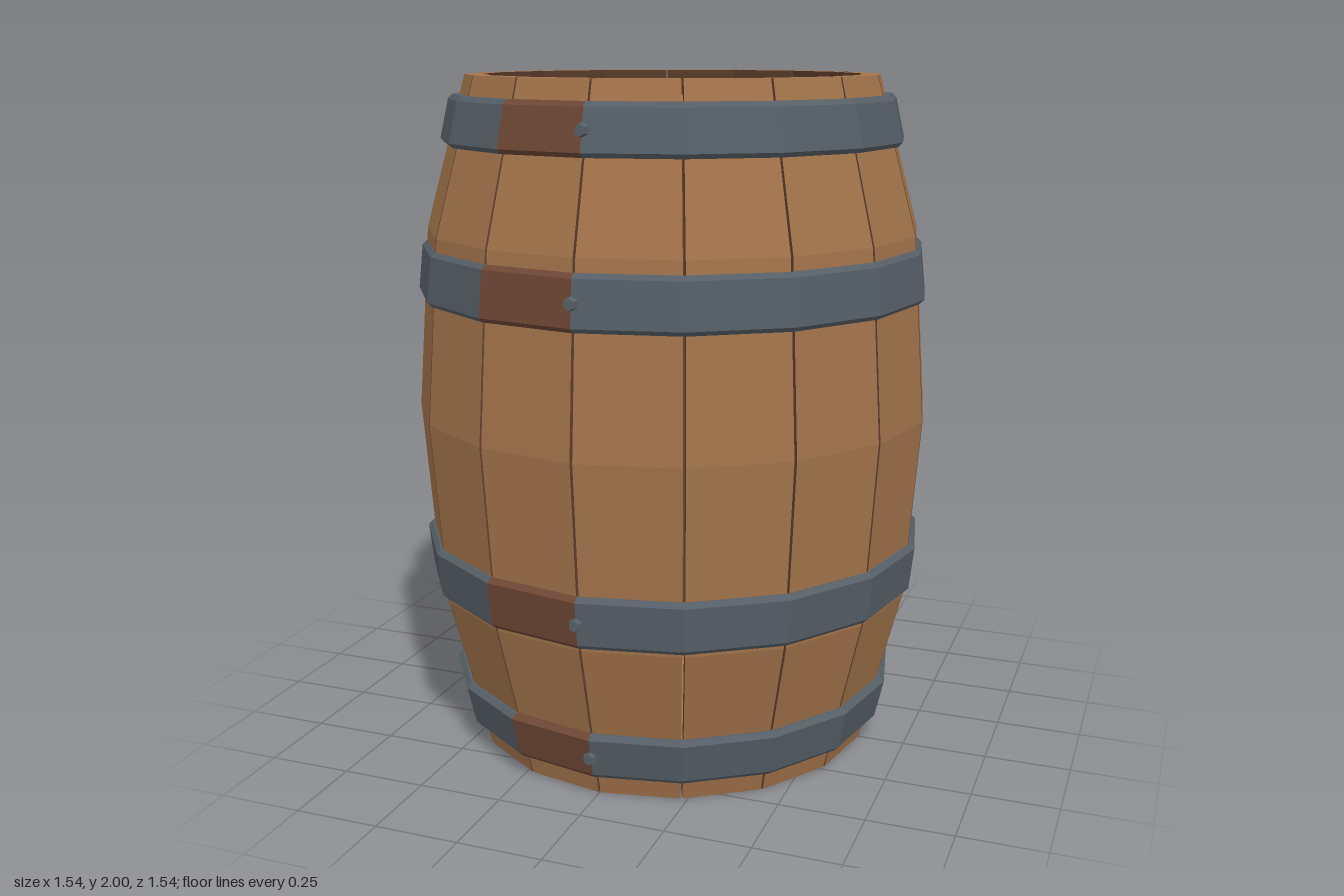
import * as THREE from 'three';

const SIDES = 16;
const STEP = (Math.PI * 2) / SIDES;
const V = (x, y) => new THREE.Vector2(x, y);

// Outer stave curve as [radius, height], and the board thickness
const CURVE = [[0.608, 0], [0.73, 0.48], [0.77, 1.02], [0.73, 1.555], [0.608, 2]];
const THICK = 0.055;

function staveRadius(y) {
  for (let i = 1; i < CURVE.length; i++) {
    const [r0, y0] = CURVE[i - 1], [r1, y1] = CURVE[i];
    if (y <= y1) return r0 + ((r1 - r0) * (y - y0)) / (y1 - y0);
  }
  return CURVE[CURVE.length - 1][0];
}

export function createModel() {
  const mat = (name, color, side = THREE.FrontSide) => {
    const m = new THREE.MeshStandardMaterial({ color, side, flatShading: true });
    m.name = name;
    return m;
  };
  const wood = mat('oak wood', 0xa3744b);
  const dark = mat('dark inner wood', 0x64422e, THREE.DoubleSide);
  const steel = mat('hoop steel', 0x565f67);
  const rust = mat('rust', 0x6e4735);

  const root = new THREE.Group();
  root.name = 'barrel';
  const add = (parent, name, geometry, material) => {
    const mesh = new THREE.Mesh(geometry, material);
    mesh.name = name;
    parent.add(mesh);
    return mesh;
  };
  const group = (name) => {
    const g = new THREE.Group();
    g.name = name;
    root.add(g);
    return g;
  };

  // Sixteen bowed staves with a thin gap between neighbours
  const staves = group('staves');
  const outer = CURVE.map(([r, y]) => V(r, y));
  const inner = CURVE.map(([r, y]) => V(r - THICK, y)).reverse();
  const shell = [inner[inner.length - 1], ...outer, inner[0]];
  const sideShape = new THREE.Shape([...outer, ...inner]);
  const GAP = 0.005;
  for (let i = 0; i < SIDES; i++) {
    const a = i * STEP + GAP, span = STEP - 2 * GAP;
    add(staves, 'stave', new THREE.LatheGeometry(shell, 1, a, span), wood);
    add(staves, 'staveInside', new THREE.LatheGeometry(inner, 1, a, span), dark);
    for (const edge of [a, a + span]) {
      const side = add(staves, 'staveEdge', new THREE.ShapeGeometry(sideShape), dark);
      side.rotation.y = edge - Math.PI / 2;
    }
  }

  // Planked top head, recessed below the rim
  const head = group('topHead');
  const R = 0.562;
  const halfWidth = (z) => {
    const apothem = R * Math.cos(STEP / 2);
    let w = Infinity;
    for (let k = 0; k < SIDES / 2; k++) {
      const a = (k + 0.5) * STEP;
      w = Math.min(w, (apothem - z * Math.cos(a)) / Math.sin(a));
    }
    return Math.max(w, 0.001);
  };
  const cuts = [-R, -0.343, -0.115, 0.115, 0.343, R];
  for (let i = 0; i < cuts.length - 1; i++) {
    const z0 = cuts[i] + 0.002, z1 = cuts[i + 1] - 0.002;
    const zs = [z0];
    for (let k = SIDES / 2; k >= 0; k--) {
      const z = R * Math.cos(k * STEP);
      if (z > z0 && z < z1) zs.push(z);
    }
    zs.push(z1);
    const right = zs.map((z) => V(halfWidth(z), z));
    const left = zs.map((z) => V(-halfWidth(z), z)).reverse();
    const plank = new THREE.ExtrudeGeometry(new THREE.Shape([...right, ...left]), { depth: 0.03, bevelEnabled: false });
    plank.rotateX(-Math.PI / 2);
    add(head, 'headPlank', plank, wood).position.y = 1.89;
  }
  add(head, 'headBacking', new THREE.CylinderGeometry(R - 0.01, R - 0.01, 0.01, SIDES), dark).position.y = 1.883;

  // Plain bottom head
  add(root, 'bottomHead', new THREE.CylinderGeometry(R, R - 0.004, 0.03, SIDES), wood).position.y = 0.024;

  // Four chamfered hoops, each with a rusty patch and a rivet at front and back
  // Each row: bottom height, top height, outer radius at bottom and at top
  const hoops = [
    [0.066, 0.207, 0.658, 0.684],
    [0.49, 0.643, 0.748, 0.762],
    [0.363, 0.517, 0.762, 0.748],
    [1.803, 1.944, 0.684, 0.658],
  ];
  hoops[2][0] += 1;
  hoops[2][1] += 1;
  for (const [y0, y1, r0, r1] of hoops) {
    const hoop = group('hoop');
    const c = 0.013;
    const i0 = staveRadius(y0) - 0.004, i1 = staveRadius(y1) - 0.004;
    const profile = [
      V(i0, y0), V(Math.max(r0 - c, i0 + 0.004), y0), V(r0, y0 + c),
      V(r1, y1 - c), V(Math.max(r1 - c, i1 + 0.004), y1), V(i1, y1), V(i0, y0),
    ];
    for (const turn of [0, Math.PI]) {
      const half = new THREE.Group();
      half.name = 'hoopHalf';
      half.rotation.y = turn;
      hoop.add(half);
      add(half, 'hoopBand', new THREE.LatheGeometry(profile, SIDES / 2 - 1, 0, Math.PI - STEP), steel);
      add(half, 'rustPatch', new THREE.LatheGeometry(profile, 1, -STEP, STEP), rust);
      const rivet = new THREE.CylinderGeometry(0.016, 0.024, 0.03, 6);
      rivet.rotateX(Math.PI / 2);
      add(half, 'rivet', rivet, steel).position.set(0, (y0 + y1) / 2, (r0 + r1) / 2);
    }
  }
  return root;
}
